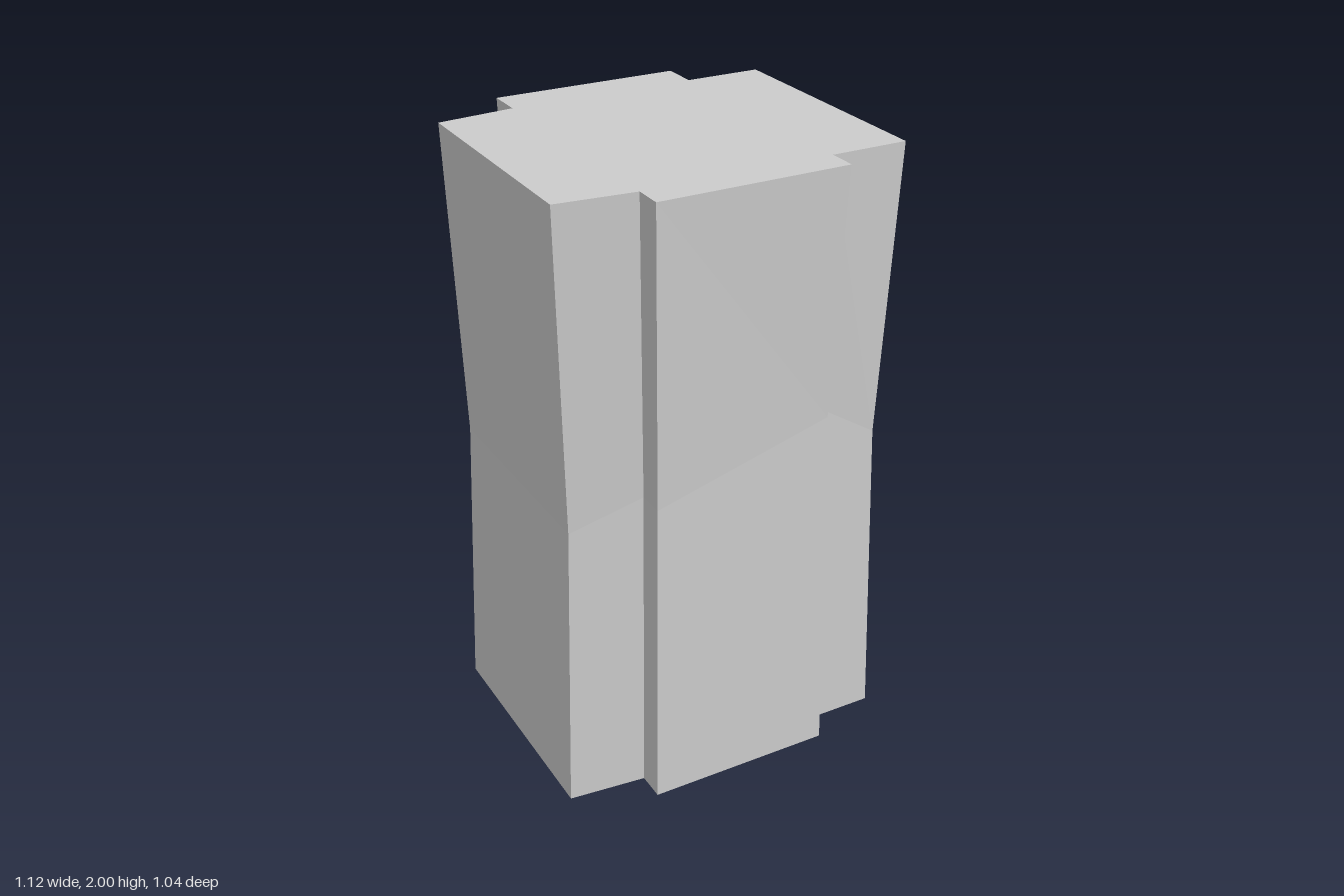
import * as THREE from 'three';

// Plan outline as [x, z], running round the pillar
const outline = [
  [-0.56, 0.4], [-0.31, 0.425], [-0.31, 0.517], [0.305, 0.517], [0.305, 0.425], [0.555, 0.425],
  [0.555, -0.4], [0.305, -0.4], [0.305, -0.52], [-0.31, -0.52], [-0.31, -0.4], [-0.56, -0.377],
];

// Height of the waist crease, uneven across the width
function waistHeight(x) {
  if (x < -0.4) return 0.97;
  if (x < 0) return 1.04;
  return x < 0.4 ? 1.2 : 1.05;
}

export function createModel() {
  const shape = new THREE.Shape(outline.map(([x, z]) => new THREE.Vector2(x, -z)));
  const geometry = new THREE.ExtrudeGeometry(shape, { depth: 2, steps: 2, bevelEnabled: false });
  geometry.rotateX(-Math.PI / 2);

  // Pinch the middle ring to form the waist
  const pos = geometry.attributes.position;
  for (let i = 0; i < pos.count; i++) {
    if (Math.abs(pos.getY(i) - 1) > 0.5) continue;
    const x = pos.getX(i);
    pos.setXYZ(i, x * 0.945, waistHeight(x), pos.getZ(i) * 0.948);
  }
  geometry.computeVertexNormals();

  const pillar = new THREE.Mesh(
    geometry,
    new THREE.MeshStandardMaterial({ color: 0xcccccc, flatShading: true })
  );
  pillar.name = 'waistedPillar';

  const group = new THREE.Group();
  group.name = 'pillar';
  group.add(pillar);
  return group;
}
